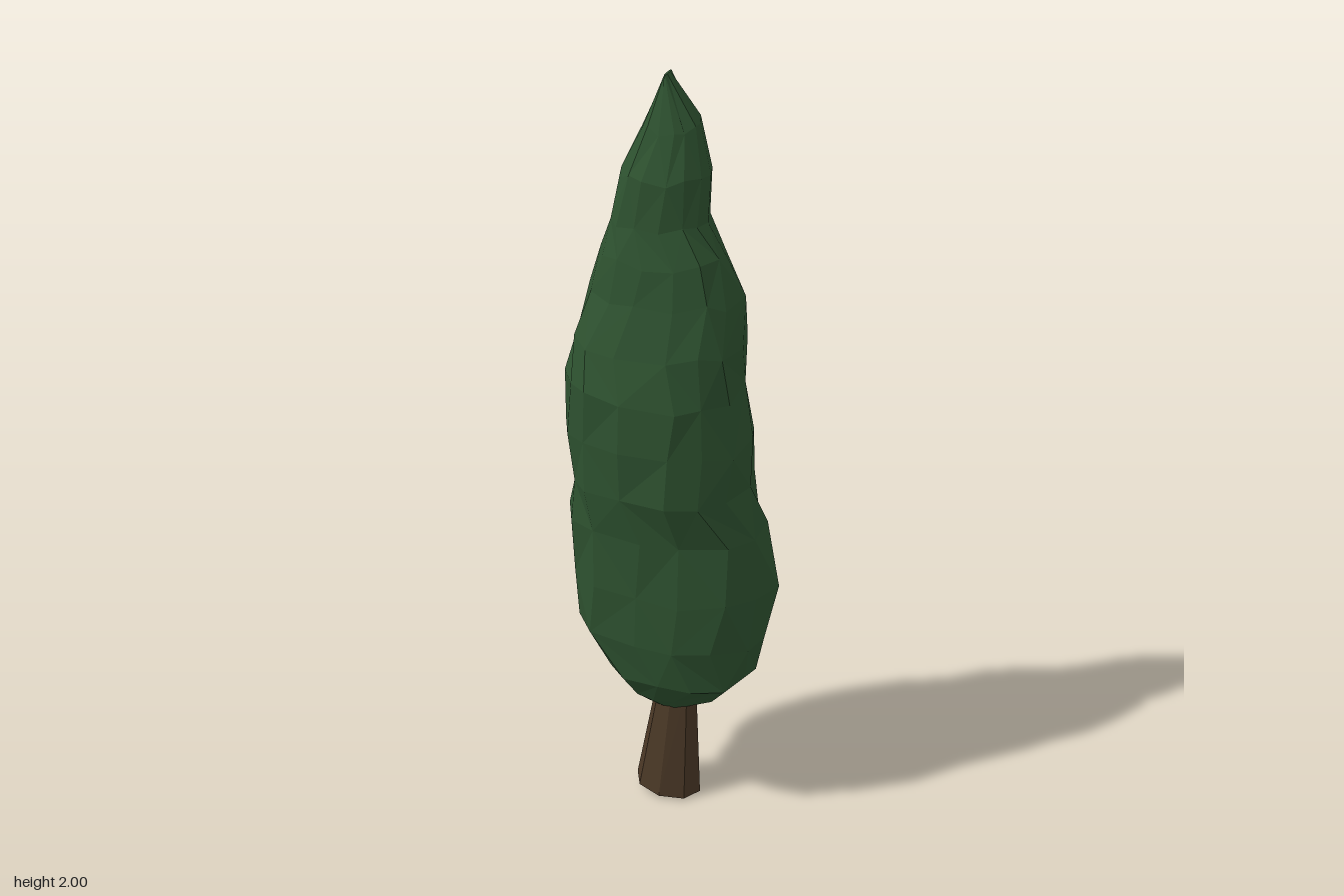
import * as THREE from 'three';

// Small seeded generator for the faceted irregularity
function seeded(seed) {
  return () => {
    seed = (seed * 16807) % 2147483647;
    return seed / 2147483647;
  };
}

// Closed low-poly skin through rings of points, listed bottom to top
function loft(rings) {
  const pos = [];
  const n = rings[0].length;
  const tri = (a, b, c) => pos.push(...a.toArray(), ...b.toArray(), ...c.toArray());
  for (let r = 0; r < rings.length - 1; r++) {
    for (let i = 0; i < n; i++) {
      const j = (i + 1) % n;
      const a = rings[r][i], b = rings[r][j], c = rings[r + 1][j], d = rings[r + 1][i];
      // Alternate the diagonals so the facets look natural
      if ((r + i) % 2) { tri(a, b, d); tri(b, c, d); }
      else { tri(a, c, d); tri(a, b, c); }
    }
  }
  const cap = (points, up) => {
    const mid = points.reduce((s, p) => s.add(p), new THREE.Vector3()).divideScalar(n);
    points.forEach((p, i) => {
      const q = points[(i + 1) % n];
      if (up) tri(mid, p, q); else tri(mid, q, p);
    });
  };
  cap(rings[0], false);
  cap(rings[rings.length - 1], true);
  const geo = new THREE.BufferGeometry();
  geo.setAttribute('position', new THREE.Float32BufferAttribute(pos, 3));
  geo.computeVertexNormals();
  return geo;
}

// Rounded ring, anticlockwise from above, fitted to its left, right, back and front extents
function ring([y, x0, x1, z0, z1], n, turn, wobble, rnd, power = 0.9) {
  const cx = (x0 + x1) / 2, cz = (z0 + z1) / 2;
  const rx = (x1 - x0) / 2, rz = (z1 - z0) / 2;
  const soft = v => Math.sign(v) * Math.abs(v) ** power;
  const pts = [];
  for (let i = 0; i < n; i++) {
    const a = ((i + turn) / n) * Math.PI * 2 + (rnd() - 0.5) * wobble;
    const k = 1.01 + (rnd() - 0.5) * wobble * 0.45;
    pts.push(new THREE.Vector3(
      cx + soft(Math.cos(a)) * rx * k,
      y + (rnd() - 0.5) * wobble * 0.17,
      cz - soft(Math.sin(a)) * rz * k));
  }
  return pts;
}

export function createModel() {
  const group = new THREE.Group();
  const leafGreen = new THREE.MeshStandardMaterial({ color: 0x2e5230 });
  leafGreen.name = 'leafGreen';
  const barkBrown = new THREE.MeshStandardMaterial({ color: 0x4a3826 });
  barkBrown.name = 'barkBrown';
  leafGreen.flatShading = barkBrown.flatShading = true;

  // Foliage profile: y, left, right, back, front
  const profile = [
    [0.275, -0.05, 0.06, -0.04, 0.045],
    [0.31, -0.12, 0.12, -0.10, 0.085],
    [0.40, -0.175, 0.215, -0.15, 0.15],
    [0.52, -0.245, 0.25, -0.19, 0.175],
    [0.66, -0.265, 0.262, -0.213, 0.18],
    [0.83, -0.27, 0.235, -0.208, 0.185],
    [0.95, -0.24, 0.21, -0.198, 0.213],
    [1.08, -0.26, 0.205, -0.16, 0.21],
    [1.22, -0.25, 0.185, -0.14, 0.215],
    [1.34, -0.235, 0.19, -0.125, 0.19],
    [1.46, -0.205, 0.183, -0.11, 0.16],
    [1.56, -0.165, 0.145, -0.08, 0.15],
    [1.65, -0.14, 0.098, -0.07, 0.13],
    [1.76, -0.115, 0.10, -0.08, 0.122],
    [1.88, -0.068, 0.068, -0.052, 0.085],
  ];
  const rnd = seeded(4711);
  const rings = profile.map((p, r) =>
    ring(p, 14, (r % 3) * 0.2, p[0] < 0.29 ? 0.05 : 0.15, rnd));
  // Short sharp ridge at the tip
  rings.push(ring([2, -0.012, -0.006, -0.01, 0.035], 14, 0, 0, rnd));
  const foliage = new THREE.Mesh(loft(rings), leafGreen);
  foliage.name = 'foliage';
  group.add(foliage);

  // Leaning trunk with a slanted foot
  const foot = ring([0, -0.1, 0.077, -0.07, 0.08], 8, 0, 0, rnd, 1);
  foot.forEach(p => { p.y = Math.max(0, (0.077 - p.x) * 0.13); });
  const top = ring([0.34, -0.04, 0.065, -0.035, 0.045], 8, 0, 0, rnd, 1);
  const trunk = new THREE.Mesh(loft([foot, top]), barkBrown);
  trunk.name = 'trunk';
  group.add(trunk);

  return group;
}
